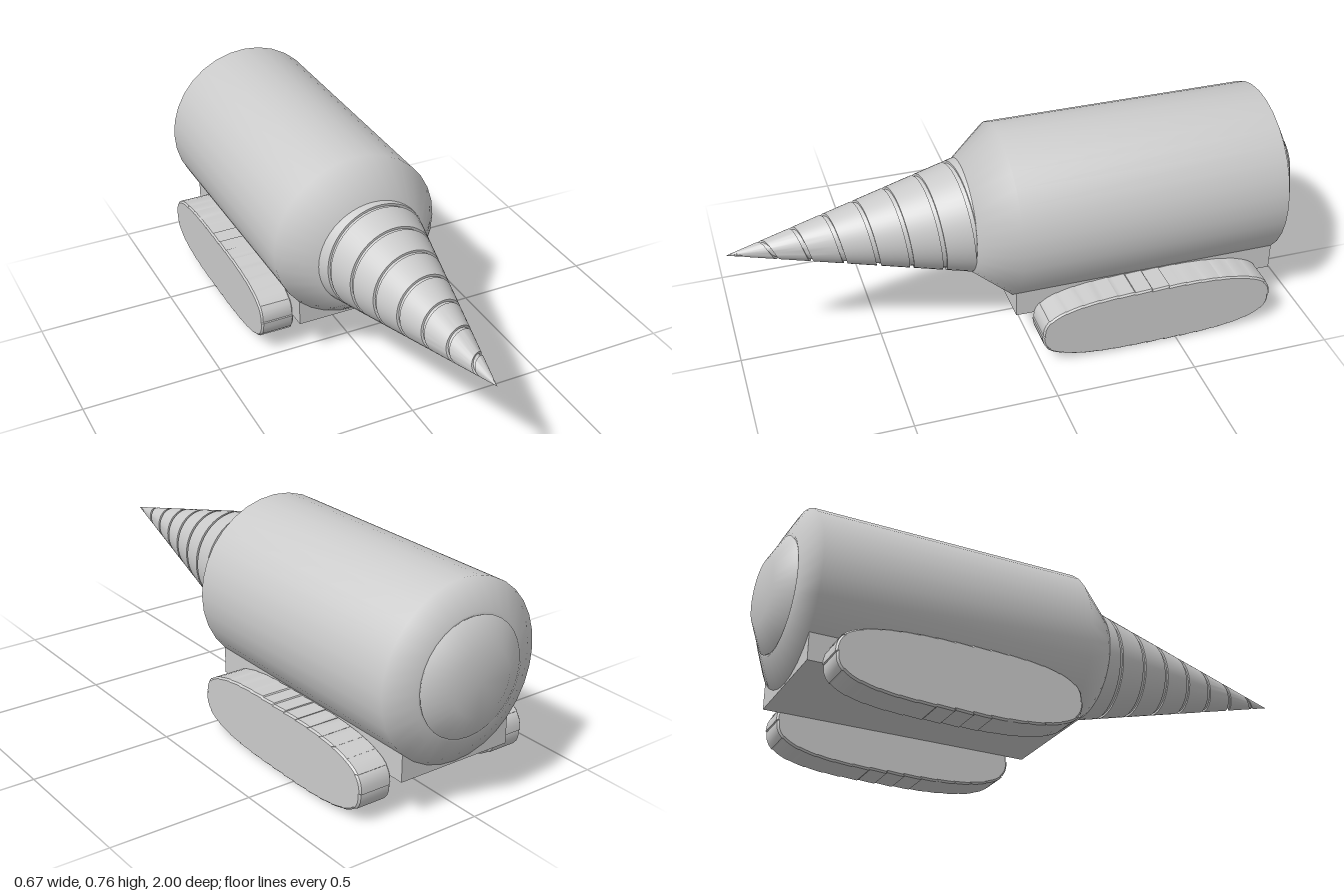
import * as THREE from 'three';
import { toCreasedNormals } from 'three/addons/utils/BufferGeometryUtils.js';

const AXIS_Y = 0.455;
const DRILL = { base: 0.19, tip: 1, radius: 0.2 };
const grey = new THREE.MeshStandardMaterial({ color: 0xcccccc });

function part(name, geometry, x = 0, y = 0, z = 0) {
  const mesh = new THREE.Mesh(geometry, grey);
  mesh.name = name;
  mesh.position.set(x, y, z);
  return mesh;
}

// Turned shape along z; points are [radius, z] from back to front
function turned(points, segments) {
  const profile = points.map(([r, z]) => new THREE.Vector2(r, z));
  return new THREE.LatheGeometry(profile, segments).rotateX(Math.PI / 2);
}

const drillRadius = (z) => DRILL.radius * (DRILL.tip - z) / (DRILL.tip - DRILL.base);
const grooveDepth = (r) => Math.min(0.008, r * 0.3);

// Raised helical band that leaves a narrow spiral groove on the cone
function drillBand() {
  const pitch = 0.11, groove = 0.014, perTurn = 48, turns = 9;
  const clampZ = (z) => Math.min(DRILL.tip, Math.max(DRILL.base, z));
  const positions = [], index = [];
  for (let i = 0; i <= perTurn * turns; i++) {
    const turn = i / perTurn, a = turn * Math.PI * 2;
    const start = DRILL.base + (turn - 1) * pitch;
    const z0 = clampZ(start + groove / 2), z1 = clampZ(start + pitch - groove / 2);
    const r0 = drillRadius(z0), r1 = drillRadius(z1);
    const section = [[r0 - grooveDepth(r0), z0], [r0, z0], [r1, z1], [r1 - grooveDepth(r1), z1]];
    for (const [r, z] of section) positions.push(r * Math.cos(a), r * Math.sin(a), z);
    if (i === 0) continue;
    for (let k = 0; k < 3; k++) {
      const p = (i - 1) * 4 + k, q = i * 4 + k;
      index.push(p, q, p + 1, q, q + 1, p + 1);
    }
  }
  const geometry = new THREE.BufferGeometry();
  geometry.setAttribute('position', new THREE.Float32BufferAttribute(positions, 3));
  geometry.setIndex(index);
  return toCreasedNormals(geometry, 0.6);
}

// Rounded track loop with shallow stepped tread plates
function trackGeometry() {
  const plates = 30, perPlate = 4, halfLength = 0.42, halfHeight = 0.114, bevel = 0.006;
  const power = (v) => Math.sign(v) * Math.abs(v) ** 0.7;
  const loop = [];
  for (let i = 0; i < 360; i++) {
    const a = i / 360 * Math.PI * 2;
    loop.push(new THREE.Vector2(power(Math.cos(a)) * halfLength, power(Math.sin(a)) * halfHeight));
  }
  // Even spacing along the loop
  loop.push(loop[0].clone());
  const path = new THREE.Path(loop);
  const outline = [];
  for (let i = 0; i < plates; i++) {
    for (let k = 0; k <= perPlate; k++) {
      const t = (i + Math.min(k / perPlate, 0.97)) / plates;
      const p = path.getPointAt(t);
      const inset = 0.004 * k / perPlate;
      outline.push(p.multiplyScalar(1 - inset / p.length()));
    }
  }
  const width = 0.122;
  const geometry = new THREE.ExtrudeGeometry(new THREE.Shape(outline), {
    depth: width - 2 * bevel, bevelSize: bevel, bevelThickness: bevel, bevelSegments: 1, steps: 1,
  });
  geometry.translate(0, 0, bevel - width / 2).rotateY(Math.PI / 2);
  return toCreasedNormals(geometry, 0.5);
}

export function createModel() {
  const model = new THREE.Group();
  model.name = 'drillingMachine';

  // Barrel hull with sloped ends
  model.add(part('hull', turned([
    [0, -0.94], [0.19, -0.942], [0.208, -0.95], [0.305, -0.9],
    [0.305, 0.06], [0.2, 0.19], [0, 0.19],
  ], 32), 0, AXIS_Y));

  // Tapered exhaust at the back
  model.add(part('exhaust', turned([[0, -1], [0.112, -1], [0.2, -0.952], [0.19, -0.93]], 32), 0, AXIS_Y));

  // Drill: grooved core and spiral band
  const drill = new THREE.Group();
  drill.name = 'drill';
  drill.position.y = AXIS_Y;
  const core = [[0, DRILL.base]];
  for (let i = 0; i <= 12; i++) {
    const z = DRILL.base + (DRILL.tip - DRILL.base) * i / 12;
    const r = drillRadius(z);
    core.push([Math.max(0, r - grooveDepth(r)), z]);
  }
  drill.add(part('drillCore', toCreasedNormals(turned(core, 48), 0.6)));
  drill.add(part('drillSpiral', drillBand()));
  model.add(drill);

  // Flat chassis under the hull
  model.add(part('chassis', new THREE.BoxGeometry(0.43, 0.13, 0.96), 0, 0.209, -0.42));

  // Tracks, the right one sitting slightly higher
  const track = trackGeometry();
  model.add(part('leftTrack', track, 0.273, 0.12, -0.425));
  model.add(part('rightTrack', track, -0.273, 0.14, -0.425));

  return model;
}
